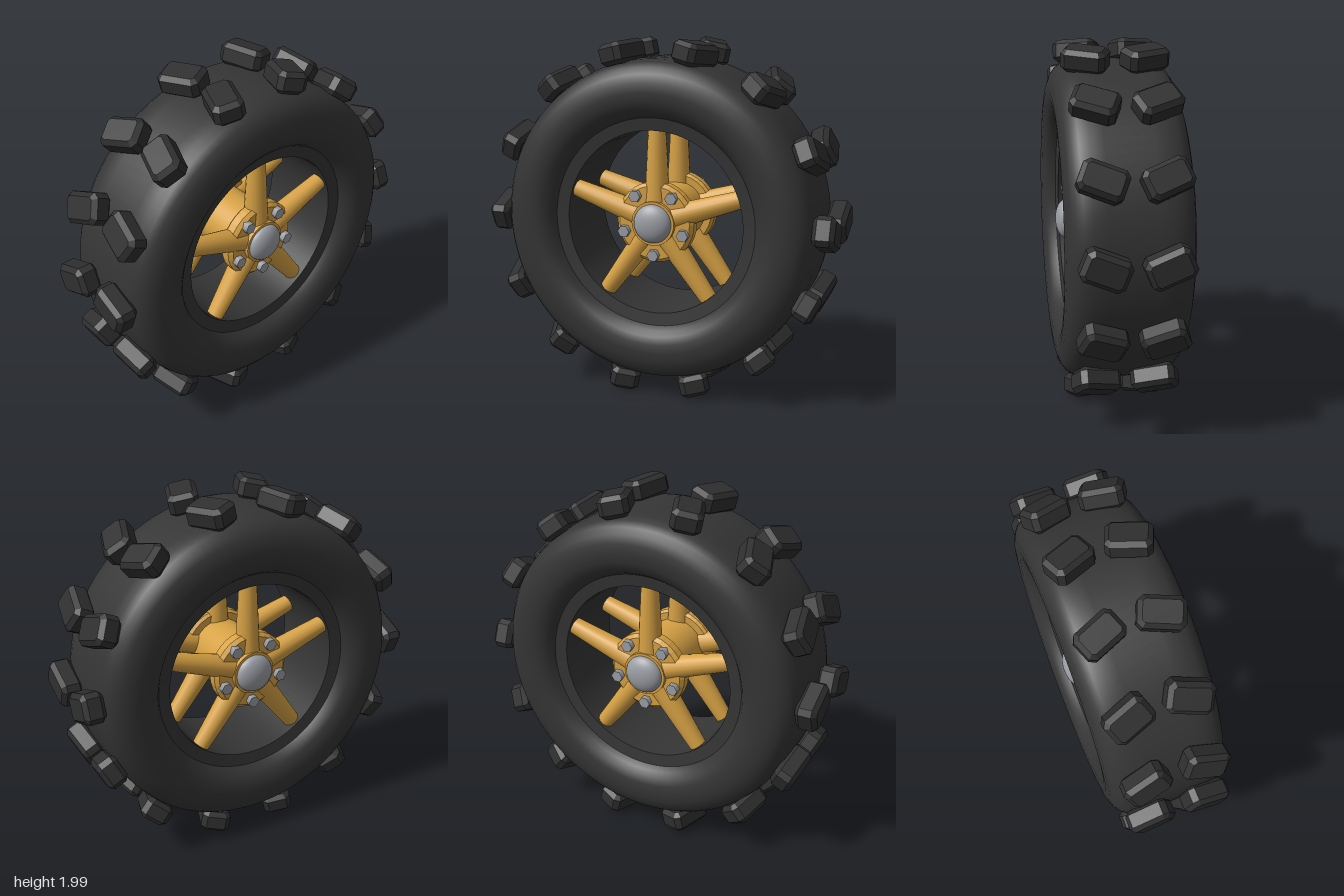
import * as THREE from 'three';

export function createModel() {
  const model = new THREE.Group();
  const wheel = new THREE.Group();
  wheel.name = 'wheel';
  wheel.position.y = 1;
  model.add(wheel);

  const material = (name, color) => {
    const m = new THREE.MeshStandardMaterial({ color });
    m.name = name;
    return m;
  };
  const rubber = material('tyre rubber', 0x353535);
  const tread = material('tread rubber', 0x2f2f30);
  const gold = material('gold rim', 0xd6a144);
  const steel = material('steel', 0x9b9ea5);

  const add = (parent, name, geometry, mat) => {
    const mesh = new THREE.Mesh(geometry, mat);
    mesh.name = name;
    parent.add(mesh);
    return mesh;
  };
  // Surfaces of revolution around the x axle; points are [radius, x]
  const lathe = (points, segments) =>
    new THREE.LatheGeometry(points.map(([r, x]) => new THREE.Vector2(r, x)), segments).rotateZ(-Math.PI / 2);
  const cylinder = (radius, x0, x1, sides) =>
    new THREE.CylinderGeometry(radius, radius, x1 - x0, sides).rotateZ(-Math.PI / 2).translate((x0 + x1) / 2, 0, 0);

  // Tyre carcass: rounded sidewalls and a flat tread
  const half = [[0.58, 0.25], [0.6, 0.283], [0.63, 0.308], [0.67, 0.325], [0.72, 0.33],
    [0.77, 0.325], [0.815, 0.31], [0.85, 0.285], [0.875, 0.25], [0.889, 0.2], [0.895, 0.13]];
  const profile = [...half.map(([r, x]) => [r, -x]), ...half.slice().reverse()];
  add(wheel, 'tyre', lathe(profile, 96), rubber);

  // Bead rings and inner bore
  add(wheel, 'leftBead', lathe([[0.58, 0.25], [0.51, 0.24]], 96), rubber);
  add(wheel, 'rightBead', lathe([[0.51, -0.24], [0.58, -0.25]], 96), rubber);
  add(wheel, 'innerBore', lathe([[0.51, 0.24], [0.51, -0.24]], 96), rubber);

  // Chamfered tread lugs in a chevron pattern
  const L = 0.12, W = 0.0825, c = 0.028, bevel = 0.024;
  const outline = new THREE.Shape([
    [L, -W + c], [L, W - c], [L - c, W], [-L + c, W],
    [-L, W - c], [-L, -W + c], [-L + c, -W], [L - c, -W],
  ].map(([x, y]) => new THREE.Vector2(x, y)));
  const lugGeometry = new THREE.ExtrudeGeometry(outline, {
    depth: 0.12 - 2 * bevel, bevelEnabled: true, bevelThickness: bevel,
    bevelSize: bevel, bevelOffset: -bevel, bevelSegments: 1,
  }).translate(0, 0, 0.88 + bevel);
  const lugCount = 14;
  for (let i = 0; i < lugCount; i++) {
    const pair = new THREE.Group();
    pair.name = 'lugPair';
    pair.rotation.x = (i / lugCount) * Math.PI * 2;
    for (const side of [1, -1]) {
      const lug = add(pair, side > 0 ? 'leftLug' : 'rightLug', lugGeometry, tread);
      lug.position.x = side * 0.157;
      lug.rotation.z = -side * 0.39;
    }
    wheel.add(pair);
  }

  // Hub barrel joining both rim faces
  add(wheel, 'hubBarrel', cylinder(0.17, -0.19, 0.19, 32), gold);

  // Rim face, repeated on both sides
  const spokeGeometry = new THREE.CylinderGeometry(0.048, 0.07, 0.42, 16).translate(0, 0.31, 0);
  const boltGeometry = new THREE.CylinderGeometry(0.034, 0.034, 0.045, 6).rotateZ(-Math.PI / 2);
  for (const side of [1, -1]) {
    const face = new THREE.Group();
    face.name = side > 0 ? 'leftRimFace' : 'rightRimFace';
    face.rotation.y = side > 0 ? 0 : Math.PI;
    wheel.add(face);

    const flange = lathe([[0.001, 0.14], [0.21, 0.14], [0.225, 0.155], [0.225, 0.205], [0.205, 0.225], [0.001, 0.225]], 32)
      .toNonIndexed();
    flange.computeVertexNormals();
    add(face, 'hubFlange', flange, gold);
    add(face, 'capRing', cylinder(0.123, 0.2, 0.25, 32), gold);
    const cap = new THREE.SphereGeometry(0.108, 32, 10, 0, Math.PI * 2, 0, Math.PI / 2)
      .scale(1, 0.52, 1).rotateZ(-Math.PI / 2).translate(0.25, 0, 0);
    add(face, 'hubCap', cap, steel);

    for (let i = 0; i < 5; i++) {
      const angle = (i / 5) * Math.PI * 2;
      // Tapered spoke
      const spoke = add(face, 'spoke', spokeGeometry, gold);
      spoke.position.x = 0.175;
      spoke.rotation.x = angle;
      // Hex bolt between two spokes
      const bolt = add(face, 'bolt', boltGeometry, steel);
      const a = angle + Math.PI / 5;
      bolt.position.set(0.235, 0.18 * Math.cos(a), 0.18 * Math.sin(a));
    }
  }
  return model;
}
